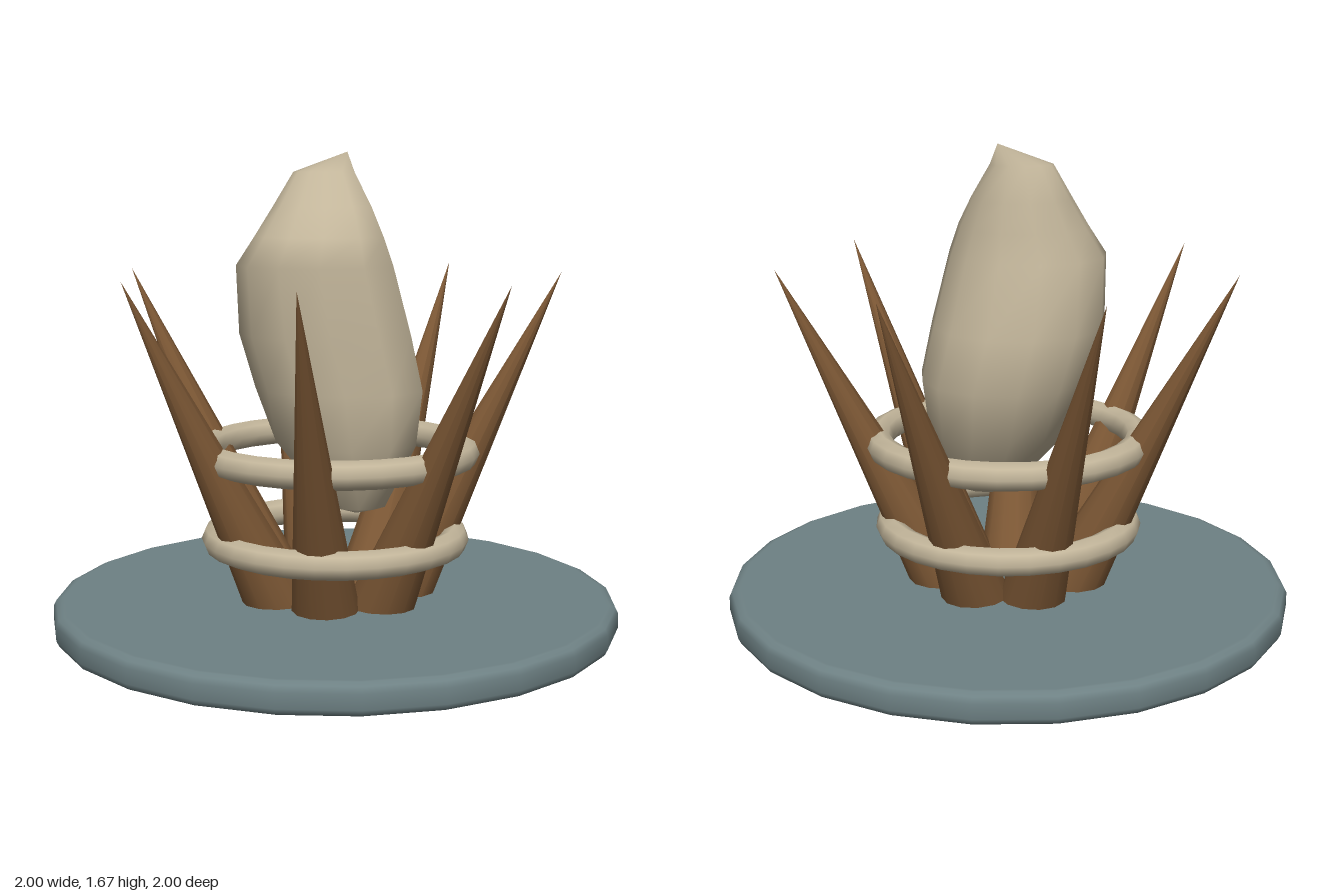
import * as THREE from 'three';

const mat = (name, color) => {
  const m = new THREE.MeshStandardMaterial({ color });
  m.name = name;
  return m;
};

// Irregular stone lofted through rings of [y, xMin, xMax, zMin, zMax]
function stoneGeometry(rings, apex, foot) {
  const n = 12, pos = [], idx = [];
  for (const [y, x0, x1, z0, z1] of rings) {
    const cx = (x0 + x1) / 2, cz = (z0 + z1) / 2;
    for (let i = 0; i < n; i++) {
      const a = (i / n) * Math.PI * 2;
      // fuller towards the front left corner
      const bulge = 1 + 0.12 * Math.max(0, Math.sin(2 * a)) * (a < Math.PI / 2 ? 1 : 0);
      pos.push(cx + (x1 - x0) / 2 * Math.cos(a) * bulge, y, cz + (z1 - z0) / 2 * Math.sin(a) * bulge);
    }
  }
  const last = (rings.length - 1) * n, top = rings.length * n;
  pos.push(...apex, ...foot);
  for (let i = 0; i < n; i++) {
    const j = (i + 1) % n;
    for (let b = 0; b < last; b += n) {
      idx.push(b + i, b + n + i, b + j, b + j, b + n + i, b + n + j);
    }
    idx.push(last + i, top, last + j, i, j, top + 1);
  }
  const g = new THREE.BufferGeometry();
  g.setAttribute('position', new THREE.Float32BufferAttribute(pos, 3));
  g.setIndex(idx);
  g.computeVertexNormals();
  return g;
}

export function createModel() {
  const group = new THREE.Group();
  const slate = mat('slate', 0x6e8184);
  const bone = mat('bone', 0xc2b59a);
  const wood = mat('wood', 0x7d5835);
  const add = (name, geometry, material) => {
    const m = new THREE.Mesh(geometry, material);
    m.name = name;
    group.add(m);
    return m;
  };

  // Round base plate with a softened rim
  const profile = [
    [0, 0], [0.96, 0], [0.97, 0.002], [0.99, 0.01], [1, 0.03],
    [1, 0.08], [0.99, 0.1], [0.97, 0.109], [0.96, 0.11], [0, 0.11],
  ].map(([x, y]) => new THREE.Vector2(x, y));
  add('basePlate', new THREE.LatheGeometry(profile, 24), slate);

  // Seven spikes leaning outwards
  const spikeCount = 7, up = new THREE.Vector3(0, 1, 0);
  for (let i = 0; i < spikeCount; i++) {
    const a = (i / spikeCount) * Math.PI * 2;
    const at = (r, y) => new THREE.Vector3(r * Math.cos(a), y, r * Math.sin(a));
    const start = at(0.21, 0.06), tip = at(0.8, 1.25);
    const dir = tip.clone().sub(start);
    const spike = add('spike' + (i + 1), new THREE.ConeGeometry(0.122, dir.length(), 12), wood);
    spike.position.copy(start).add(tip).multiplyScalar(0.5);
    spike.quaternion.setFromUnitVectors(up, dir.normalize());
  }

  // Binding rings
  for (const [name, y, r] of [['lowerRing', 0.315, 0.425], ['upperRing', 0.625, 0.46]]) {
    const ring = add(name, new THREE.TorusGeometry(r, 0.05, 8, 28), bone);
    ring.rotation.x = Math.PI / 2;
    ring.position.y = y;
  }

  // Leaning stone held between the spikes
  add('stone', stoneGeometry([
    [0.44, -0.03, 0.17, -0.05, 0.15],
    [0.66, -0.21, 0.28, -0.25, 0.25],
    [0.85, -0.28, 0.305, -0.3, 0.255],
    [1.04, -0.335, 0.265, -0.32, 0.255],
    [1.28, -0.345, 0.2, -0.25, 0.25],
    [1.38, -0.28, 0.165, -0.225, 0.23],
    [1.48, -0.215, 0.13, -0.2, 0.11],
    [1.6, -0.14, 0.075, -0.16, -0.02],
  ], [0.05, 1.67, -0.09], [0.07, 0.41, 0.06]), bone);

  return group;
}
